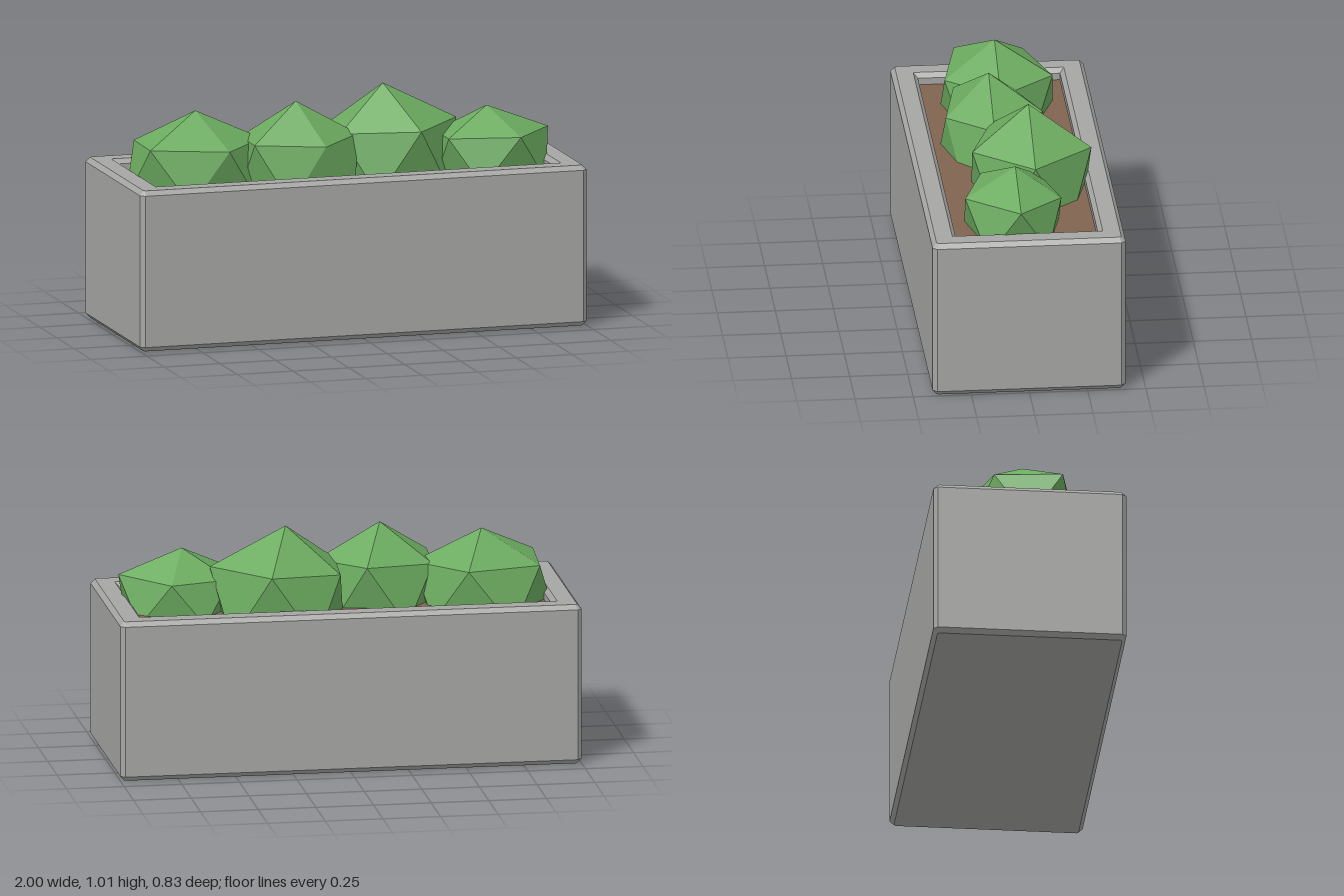
import * as THREE from 'three';

const concrete = new THREE.MeshStandardMaterial({ color: 0xa6a6a4 });
concrete.name = 'concrete';
const earth = new THREE.MeshStandardMaterial({ color: 0x80644f });
earth.name = 'earth';
const leaf = new THREE.MeshStandardMaterial({ color: 0x6cab60, flatShading: true });
leaf.name = 'leaf green';

function add(group, name, geometry, material, x = 0, y = 0, z = 0) {
  const mesh = new THREE.Mesh(geometry, material);
  mesh.name = name;
  mesh.position.set(x, y, z);
  group.add(mesh);
  return mesh;
}

// Rectangle outline with cut corners
function outline(target, w, d, c) {
  const pts = [[w - c, -d], [w, -d + c], [w, d - c], [w - c, d],
    [-w + c, d], [-w, d - c], [-w, -d + c], [-w + c, -d]];
  return target.setFromPoints(pts.map(([x, y]) => new THREE.Vector2(x, y)));
}

// Uneven 20-sided bush: apex, two staggered rings of five, and a base point
function bushGeometry([rx, ry, rz], top, upper, lower) {
  const point = (deg, h, f) => {
    const a = THREE.MathUtils.degToRad(deg), r = Math.sqrt(1 - h * h) * f;
    return [rx * r * Math.cos(a), ry * h * f, rz * r * Math.sin(a)];
  };
  const apex = [0, ry * top, 0], base = [0, -ry, 0];
  const u = upper.map((f, i) => point(i * 72, 0.447, f));
  const l = lower.map((f, i) => point(36 + i * 72, -0.447, f));
  const positions = [];
  for (let i = 0; i < 5; i++) {
    const j = (i + 1) % 5;
    positions.push(
      ...apex, ...u[j], ...u[i],
      ...u[i], ...u[j], ...l[i],
      ...u[j], ...l[j], ...l[i],
      ...l[i], ...l[j], ...base);
  }
  const g = new THREE.BufferGeometry();
  g.setAttribute('position', new THREE.Float32BufferAttribute(positions, 3));
  g.computeVertexNormals();
  return g;
}

export function createModel() {
  const group = new THREE.Group();
  group.name = 'planter';

  // Bevelled trough walls, open at the top
  const bevel = 0.02;
  const shape = outline(new THREE.Shape(), 0.98, 0.395, 0.008);
  shape.holes.push(outline(new THREE.Path(), 0.905, 0.322, 0.002));
  const walls = new THREE.ExtrudeGeometry(shape, {
    depth: 0.7 - 2 * bevel, bevelEnabled: true, bevelSize: bevel - 0.002,
    bevelThickness: bevel, bevelSegments: 1,
  });
  walls.rotateX(-Math.PI / 2);
  walls.scale(1 / 0.998, 1, 0.415 / 0.413);
  add(group, 'troughWalls', walls, concrete, 0, bevel, 0);
  add(group, 'troughFloor', new THREE.BoxGeometry(1.815, 0.04, 0.648), concrete, 0, 0.02, 0);

  // Soil fill
  add(group, 'soil', new THREE.BoxGeometry(1.79, 0.6, 0.63), earth, 0, 0.35, 0);

  // Bushes: position, radii, apex factor, upper ring factors, lower ring factors
  const bushes = [
    [-0.63, 0, [0.32, 0.256, 0.27], 1, [1.04, 0.97, 1.07, 1, 1.05], [1, 1, 1.1, 1.13, 1]],
    [-0.2, 0.065, [0.31, 0.285, 0.25], 1, [1, 0.9, 1.0, 0.94, 1.06], [1, 0.98, 0.93, 1, 1]],
    [0.23, -0.067, [0.35, 0.315, 0.295], 1, [1.05, 1, 0.93, 0.86, 1.04], [1, 0.95, 0.8, 1, 1.02]],
    [0.665, 0.03, [0.295, 0.225, 0.25], 0.94, [1.04, 1.05, 0.98, 0.9, 0.9], [1.05, 1, 0.85, 0.9, 0.95]],
  ];
  bushes.forEach(([x, z, radii, top, upper, lower], i) => {
    add(group, `bush${i + 1}`, bushGeometry(radii, top, upper, lower), leaf, x, 0.7, z);
  });
  return group;
}
